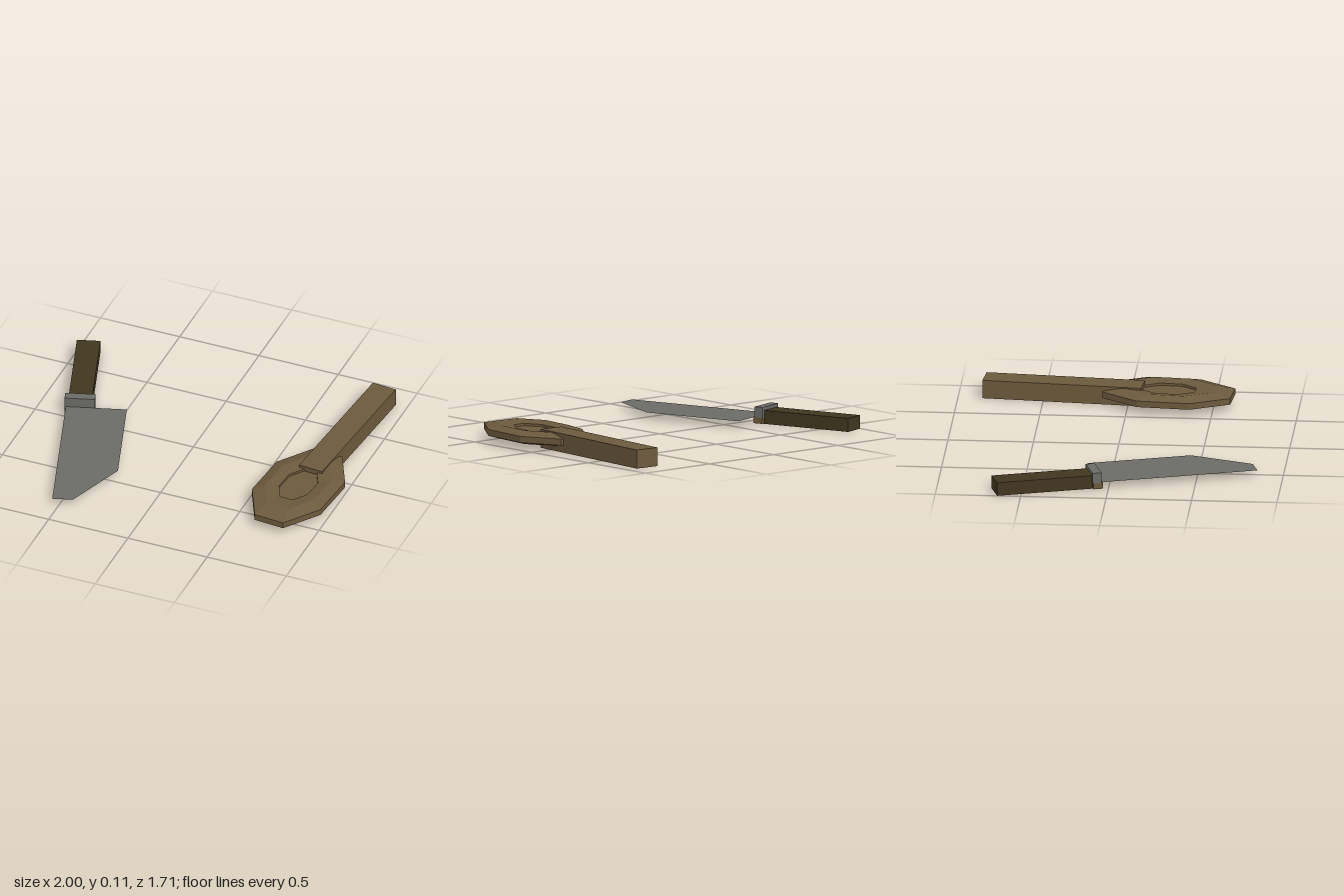
import * as THREE from 'three';

const mat = (name, color, extra = {}) => {
  const m = new THREE.MeshStandardMaterial({ color, flatShading: true, ...extra });
  m.name = name;
  return m;
};

function add(parent, name, geometry, material) {
  const mesh = new THREE.Mesh(geometry, material);
  mesh.name = name;
  parent.add(mesh);
  return mesh;
}

// Box given by its extents along each axis
function span(x0, x1, y0, y1, z0, z1) {
  return new THREE.BoxGeometry(x1 - x0, y1 - y0, z1 - z0)
    .translate((x0 + x1) / 2, (y0 + y1) / 2, (z0 + z1) / 2);
}

export function createModel() {
  const wood = mat('wood', 0x6b5a3c);
  const darkWood = mat('darkWood', 0x40371f);
  const steel = mat('steel', 0x6b6b68, { side: THREE.DoubleSide });
  const model = new THREE.Group();
  model.name = 'utensils';

  // Knife, origin at the guard, blade pointing along its local +z
  const knife = new THREE.Group();
  knife.name = 'knife';
  knife.position.set(-0.752, 0, -0.088);
  knife.rotation.y = 0.308;
  model.add(knife);
  add(knife, 'knifeHandle', span(-0.069, 0.069, 0, 0.08, -0.598, 0), darkWood);
  add(knife, 'guardTop', span(-0.089, 0.089, 0.037, 0.1, -0.03, 0.024), steel);
  add(knife, 'guardBase', span(-0.089, 0.089, 0.002, 0.037, -0.026, 0.032), wood);

  // Blade: a flat sheet with a clipped tip
  const outline = [[-0.082, 0.024], [0.276, 0.024], [0.276, 0.646], [0.038, 0.96], [-0.082, 0.96]];
  const blade = new THREE.ShapeGeometry(
    new THREE.Shape(outline.map(([x, z]) => new THREE.Vector2(x, -z))));
  blade.rotateX(-Math.PI / 2).translate(0, 0.04, 0);
  add(knife, 'blade', blade, steel);

  // Spoon, origin at the bowl centre, handle running back along local -z
  const spoon = new THREE.Group();
  spoon.name = 'spoon';
  spoon.position.set(0.761, 0, 0.236);
  spoon.rotation.y = -0.0854;
  model.add(spoon);
  add(spoon, 'spoonHandle', span(-0.075, 0.075, 0, 0.11, -1.09, -0.153), wood);

  // Eight-sided bowl: faceted rim around a thin recessed floor
  const k = 1 / Math.cos(Math.PI / 8);
  const profile = [[0, 0.05], [0.157, 0.05], [0.157, 0.038], [0.27, 0.025], [0.377, 0.045],
    [0.377, 0.082], [0.27, 0.105], [0.157, 0.092], [0.157, 0.078], [0, 0.078]]
    .map(([r, y]) => new THREE.Vector2(r * k, y));
  const bowl = new THREE.LatheGeometry(profile, 8, Math.PI / 8);
  bowl.scale(0.597, 1, 1);
  add(spoon, 'bowl', bowl, wood);

  return model;
}
